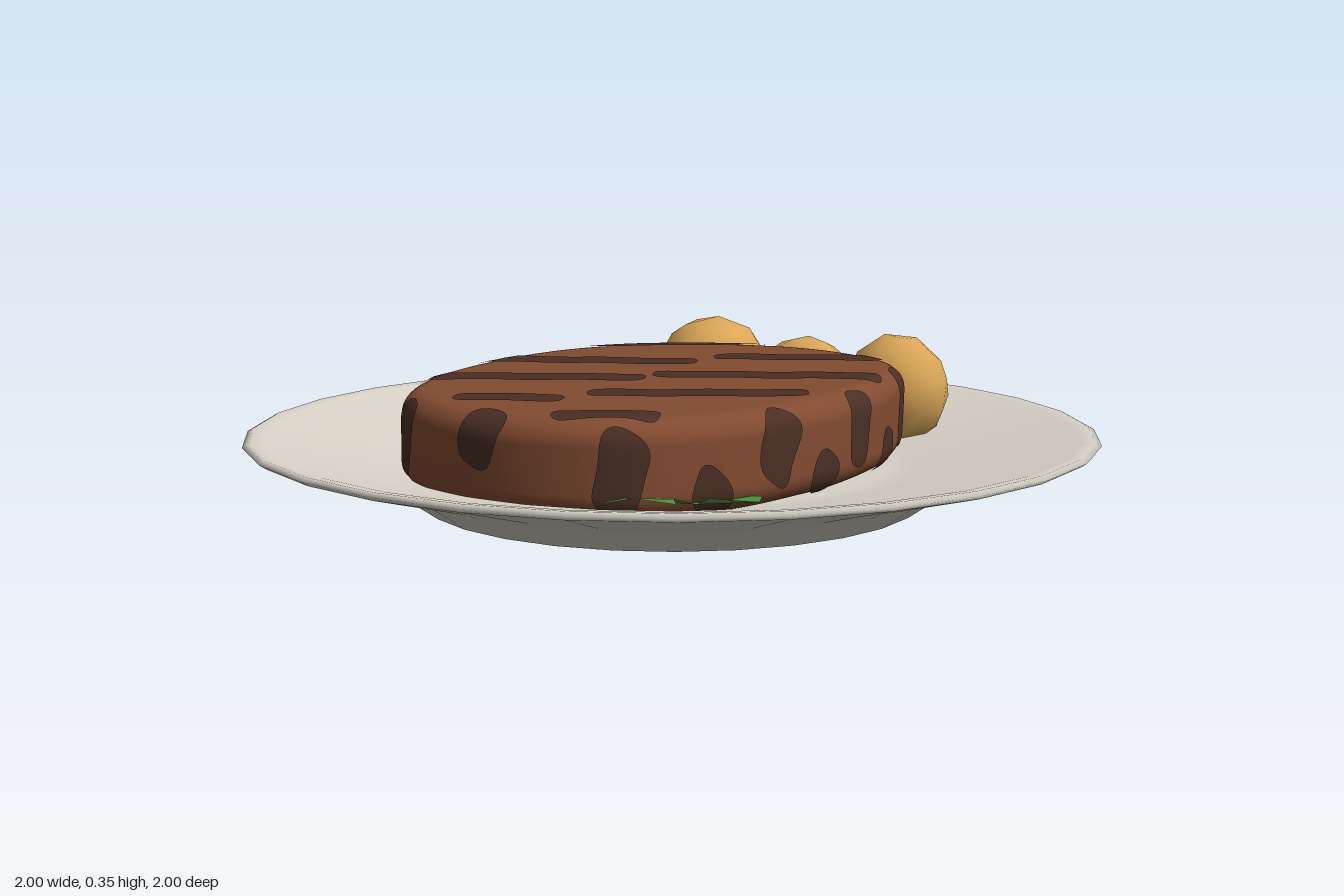
import * as THREE from 'three';
import { mergeVertices } from 'three/addons/utils/BufferGeometryUtils.js';

const material = (name, color, side = THREE.FrontSide) => {
  const m = new THREE.MeshStandardMaterial({ color, side });
  m.name = name;
  return m;
};

// Smooth surface from a rule fn(u, v) -> [x, y, z], u and v in 0..1
function grid(nu, nv, fn) {
  const pos = [], idx = [];
  for (let j = 0; j <= nv; j++)
    for (let i = 0; i <= nu; i++) pos.push(...fn(i / nu, j / nv));
  for (let j = 0; j < nv; j++)
    for (let i = 0; i < nu; i++) {
      const a = j * (nu + 1) + i, c = a + nu + 1;
      idx.push(a, a + 1, c, a + 1, c + 1, c);
    }
  let g = new THREE.BufferGeometry();
  g.setAttribute('position', new THREE.Float32BufferAttribute(pos, 3));
  g.setIndex(idx);
  g = mergeVertices(g, 1e-5);
  g.computeVertexNormals();
  return g;
}

// Steak outline: radius every 15 degrees around (CX, 0), from +x towards +z
const CX = -0.06, TOP = 0.3, BOTTOM = 0.088, BEVEL = 0.055;
const RADII = [0.65, 0.65, 0.64, 0.58, 0.537, 0.512, 0.51, 0.523, 0.563, 0.608, 0.655, 0.663,
  0.655, 0.64, 0.612, 0.567, 0.532, 0.513, 0.512, 0.532, 0.562, 0.587, 0.605, 0.63];
function outline(theta) {
  const n = RADII.length, f = ((theta / (2 * Math.PI)) % 1 + 1) % 1 * n;
  const i = Math.floor(f), t = f - i;
  const [a, b, c, d] = [-1, 0, 1, 2].map((k) => RADII[(i + k + n) % n]);
  return b + 0.5 * t * (c - a + t * (2 * a - 5 * b + 4 * c - d + t * (3 * (b - c) + d - a)));
}

// Point on the steak: s is the distance walked outwards past the flat top,
// over the rounded edge, down the side and under; lift offsets it outwards
const ARC = BEVEL * Math.PI / 2, WALL = TOP - BOTTOM - 2 * BEVEL;
function steakPoint(theta, s, lift = 0) {
  let inset, y;
  const r = BEVEL + lift;
  if (s < 0) { inset = BEVEL - s; y = TOP + lift; }
  else if (s < ARC) {
    inset = BEVEL - r * Math.sin(s / BEVEL);
    y = TOP - BEVEL + r * Math.cos(s / BEVEL);
  } else if (s < ARC + WALL) { inset = -lift; y = TOP - BEVEL - (s - ARC); }
  else {
    const a = Math.min((s - ARC - WALL) / BEVEL, Math.PI / 2);
    inset = BEVEL - r * Math.cos(a) + Math.max(0, s - 2 * ARC - WALL);
    y = BOTTOM + BEVEL - r * Math.sin(a);
  }
  const rad = Math.max(0, outline(theta) - inset);
  return [CX + rad * Math.cos(theta), y, rad * Math.sin(theta)];
}

// Round-ended grill mark, drawn flat from a to b and wrapped over the steak
function grillMark([ax, az], [bx, bz], halfWidth) {
  const len = Math.hypot(bx - ax, bz - az), dx = (bx - ax) / len, dz = (bz - az) / len;
  return grid(8, 32, (u, v) => {
    const along = len * (1 - Math.cos(Math.PI * v)) / 2;
    const q = Math.min(1, Math.min(along, len - along) / halfWidth);
    const w = halfWidth * Math.cbrt(Math.max(0, 1 - (1 - q) ** 3)) * (u * 2 - 1);
    const wave = 0.005 * Math.sin(along * 30 + ax * 9);
    const x = ax + dx * along - dz * (w + wave) - CX;
    const z = az + dz * along + dx * (w + wave);
    const theta = Math.atan2(z, x);
    return steakPoint(theta, Math.hypot(x, z) - outline(theta) + BEVEL, 0.004);
  });
}

export function createModel() {
  const model = new THREE.Group();
  model.name = 'steakDinner';
  const ceramic = material('ceramic', 0xd9d3c8);
  const meat = material('grilledMeat', 0x824b31);
  const char = material('char', 0x4a2f25);
  const potato = material('potato', 0xdca858);
  const leaf = material('leaf', 0x4a9440, THREE.DoubleSide);
  const add = (name, geometry, mat, parent = model) => {
    const mesh = new THREE.Mesh(geometry, mat);
    mesh.name = name;
    parent.add(mesh);
    return mesh;
  };

  // Plate, underside to rim to well
  const profile = [[0, 0], [0.57, 0], [0.59, 0.004], [0.665, 0.056], [0.7, 0.074], [0.985, 0.153],
    [1, 0.163], [0.985, 0.171], [0.955, 0.167], [0.58, 0.09], [0.5, 0.084], [0, 0.084]];
  add('plate', new THREE.LatheGeometry(profile.map((p) => new THREE.Vector2(...p)), 28), ceramic);

  // Steak body
  const steak = new THREE.Group();
  steak.name = 'steak';
  model.add(steak);
  const steps = [-1, -0.03, -0.01];
  for (let i = 0; i <= 8; i++) steps.push(ARC * i / 8);
  for (let i = 0; i <= 8; i++) steps.push(ARC + WALL + ARC * i / 8);
  steps.push(2);
  const rings = steps.length - 1;
  add('steakBody', grid(120, rings, (u, v) =>
    steakPoint(u * 2 * Math.PI, steps[Math.round(v * rings)])), meat, steak);

  // Grill marks across the top, some running over the edge
  const marks = [
    [[-0.585, -0.15], [-0.46, 0.06], 0.05], [[-0.5, -0.54], [-0.11, 0.01], 0.052],
    [[-0.18, -0.6], [0.165, -0.05], 0.052], [[0.17, -0.56], [0.6, -0.08], 0.05],
    [[-0.37, 0.05], [-0.07, 0.44], 0.05], [[-0.06, -0.01], [0.24, 0.43], 0.052],
    [[0.26, -0.07], [0.49, 0.27], 0.05], [[-0.63, 0.17], [-0.5, 0.36], 0.045],
  ];
  for (const [a, b, w] of marks) add('grillMark', grillMark(a, b, w), char, steak);

  // Marks on the side wall: angle, start and end distance past the flat top
  const sideMarks = [[43, 0.03, 0.2], [78, 0.03, 0.2], [112, 0.03, 0.2], [148, 0.05, 0.23],
    [176, 0.01, 0.14], [203, 0.04, 0.2], [8, 0.02, 0.2], [95, 0.15, 0.25], [60, 0.15, 0.25],
    [130, 0.15, 0.25], [222, 0.15, 0.25], [258, 0.15, 0.25], [285, 0.15, 0.25]];
  for (const [deg, s0, s1] of sideMarks) {
    const t = THREE.MathUtils.degToRad(deg);
    const at = (s, turn) => {
      const r = outline(t) - BEVEL + s;
      return [CX + r * Math.cos(t + turn), r * Math.sin(t + turn)];
    };
    add('sideGrillMark', grillMark(at(s0, -0.04), at(s1, 0.04), 0.055), char, steak);
  }

  // Potatoes: centre, half sizes, turn
  const potatoes = [
    [[0.59, 0.215, -0.32], [0.145, 0.14, 0.148], 0.3],
    [[0.62, 0.19, -0.045], [0.115, 0.13, 0.145], 1.1],
    [[0.6, 0.21, 0.245], [0.115, 0.142, 0.138], 2.0],
  ];
  for (const [centre, size, turn] of potatoes) {
    const g = new THREE.IcosahedronGeometry(1, 1).rotateY(turn).rotateX(turn * 0.4).scale(...size);
    add('potato', g, potato).position.set(...centre);
  }

  // Ragged leaf tucked under the steak, following the plate
  const edge = [[-0.55, 0.24], [-0.66, 0.34], [-0.63, 0.39], [-0.57, 0.455], [-0.545, 0.43],
    [-0.5, 0.455], [-0.48, 0.475], [-0.38, 0.53], [-0.33, 0.5], [-0.3, 0.42]];
  const shape = new THREE.Shape(edge.map(([x, z]) => new THREE.Vector2(x, -z)));
  const greens = new THREE.ShapeGeometry(shape).rotateX(-Math.PI / 2);
  const p = greens.attributes.position;
  for (let i = 0; i < p.count; i++) {
    const r = Math.hypot(p.getX(i), p.getZ(i));
    p.setY(i, 0.09 + Math.max(0, r - 0.58) * 0.21 + 0.014 + (i % 2) * 0.012);
  }
  greens.computeVertexNormals();
  add('saladLeaf', greens, leaf);

  return model;
}
